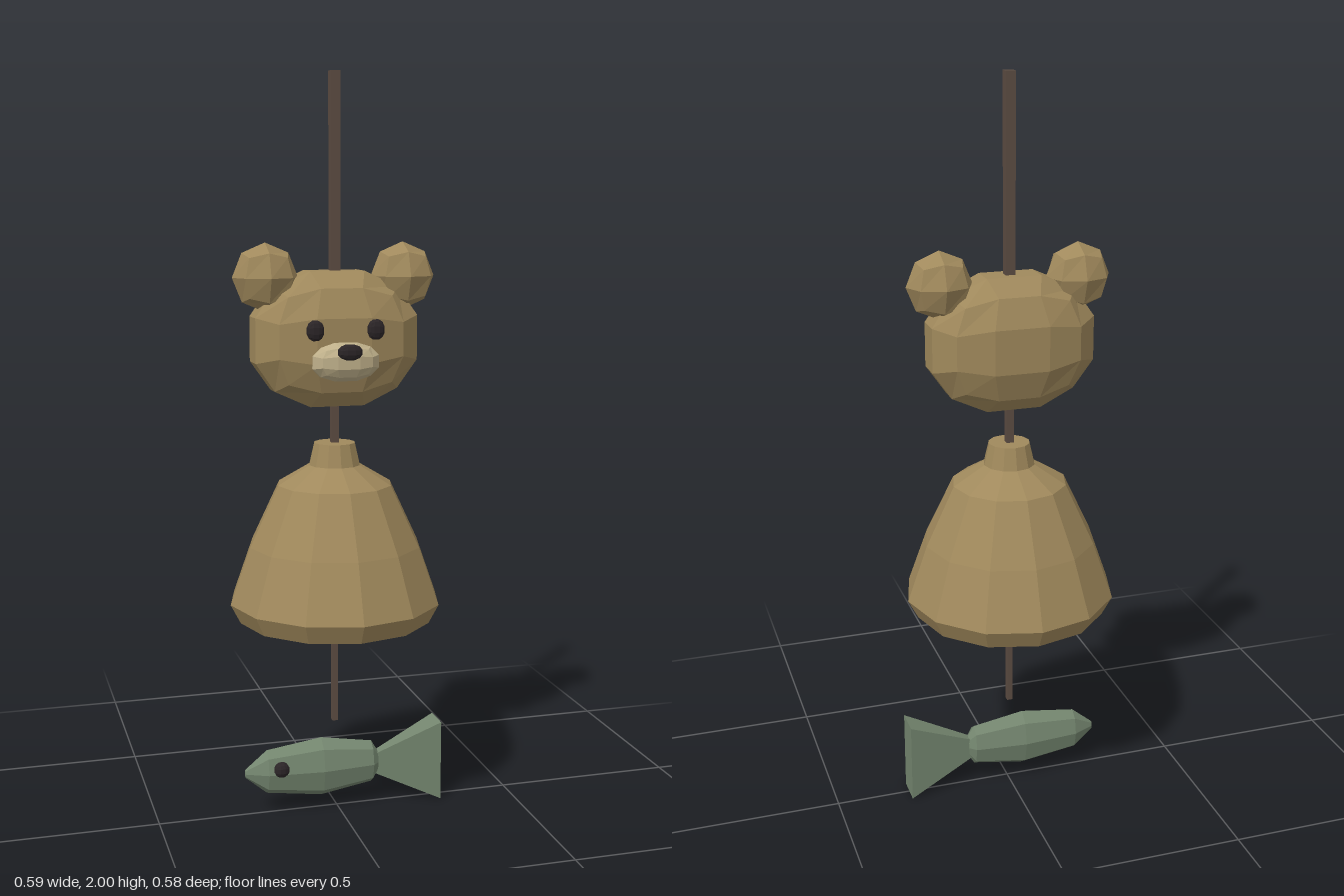
import * as THREE from 'three';

const mat = (name, color) => {
  const m = new THREE.MeshStandardMaterial({ color, flatShading: true });
  m.name = name;
  return m;
};

// Low-poly blob: a subdivided box pushed out to a rounded form with the given half sizes
function blob(segments, hx, hy, hz) {
  const geo = new THREE.BoxGeometry(2, 2, 2, segments, segments, segments);
  const p = geo.attributes.position;
  const v = new THREE.Vector3();
  const reach = new THREE.Vector3(1, segments === 3 ? 1 / 3 : 0, segments === 3 ? 1 / 3 : 0).normalize().x;
  for (let i = 0; i < p.count; i++) {
    v.fromBufferAttribute(p, i).normalize().divideScalar(reach);
    p.setXYZ(i, v.x * hx, v.y * hy, v.z * hz);
  }
  return geo;
}

export function createModel() {
  const model = new THREE.Group();
  const fur = mat('brown fur', 0xa0895c);
  const cream = mat('cream muzzle', 0xbfb08a);
  const black = mat('black', 0x2b2527);
  const wood = mat('dark cord', 0x5c4c42);
  const green = mat('fish green', 0x74866f);
  const X = -0.006; // hanging axis

  const add = (name, geo, material, x, y, z) => {
    const mesh = new THREE.Mesh(geo, material);
    mesh.name = name;
    mesh.position.set(x, y, z);
    model.add(mesh);
    return mesh;
  };

  // Cord, thinner towards the bottom
  for (const [name, from, to, w] of [
    ['upperCord', 1.4, 2, 0.026],
    ['middleCord', 0.98, 1.4, 0.02],
    ['lowerCord', 0.25, 0.98, 0.015],
  ]) add(name, new THREE.BoxGeometry(w, to - from, w), wood, X, (from + to) / 2, 0);

  // Bell body
  const bellProfile = [
    [0, 0.548], [0.262, 0.548], [0.289, 0.6], [0.234, 0.755],
    [0.156, 0.92], [0.07, 0.972], [0.056, 1.032], [0, 1.032],
  ].map(([r, y]) => new THREE.Vector2(r, y));
  add('bell', new THREE.LatheGeometry(bellProfile, 12), fur, X, 0, 0);

  // Head with ears and face
  const headGeo = blob(3, 0.22, 0.178, 0.11);
  add('head', headGeo, fur, X - 0.002, 1.312, 0);
  for (const s of [-1, 1]) {
    const side = s > 0 ? 'left' : 'right';
    add(side + 'Ear', blob(2, 0.088, 0.09, 0.077), fur, X + s * 0.187, 1.474, 0);
    add(side + 'Eye', blob(3, 0.022, 0.026, 0.013), black, X + s * 0.081, 1.342, 0.111);
  }
  add('muzzle', blob(3, 0.088, 0.05, 0.045), cream, X, 1.26, 0.1);
  add('nose', blob(3, 0.031, 0.02, 0.015), black, X, 1.289, 0.153);

  // Fish body, turned to lie along x with its nose at -x
  const fishProfile = [
    [0, -0.262], [0.012, -0.26], [0.062, -0.2], [0.084, -0.045],
    [0.06, 0.1], [0.03, 0.118], [0, 0.118],
  ].map(([r, y]) => new THREE.Vector2(r, y));
  const fishGeo = new THREE.LatheGeometry(fishProfile, 8);
  fishGeo.scale(1, 1, 0.56).rotateZ(-Math.PI / 2);
  add('fishBody', fishGeo, green, 0, 0.118, 0);

  // Fish tail, a wedge flaring towards its end
  const tailGeo = new THREE.BoxGeometry(0.186, 0.226, 0.08);
  const p = tailGeo.attributes.position;
  for (let i = 0; i < p.count; i++) {
    if (p.getX(i) < 0) {
      p.setY(i, p.getY(i) * 0.25);
      p.setZ(i, p.getZ(i) * 0.3);
    }
  }
  add('fishTail', tailGeo, green, 0.201, 0.113, 0);
  add('fishEye', blob(3, 0.02, 0.02, 0.016), black, -0.167, 0.136, 0.042);

  return model;
}
